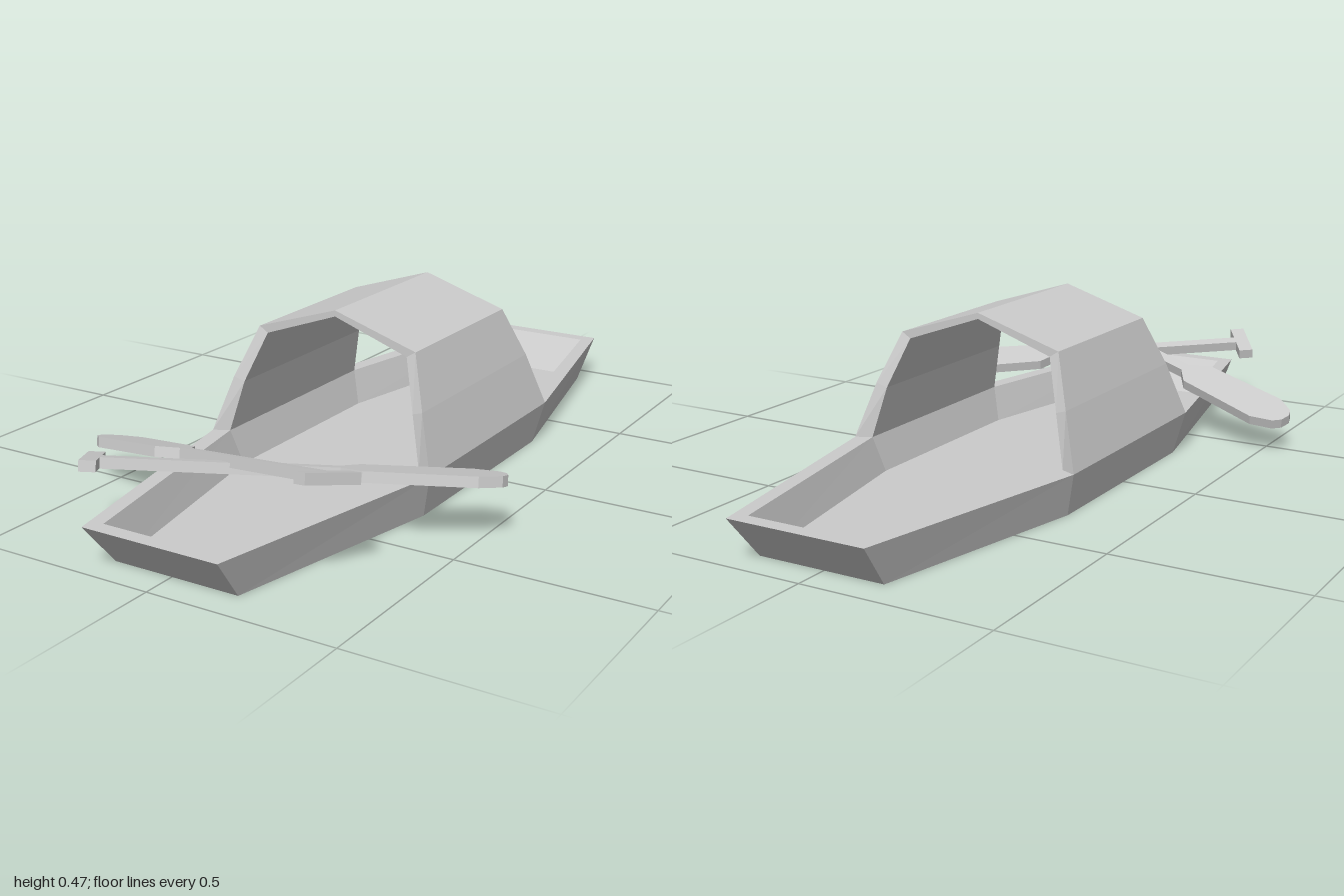
import * as THREE from 'three';

const CX = 0.01; // boat centre line

const material = () => new THREE.MeshStandardMaterial({ color: 0xcccccc, flatShading: true });

// Skin a list of rings (equal point counts) and cap both ends
function loft(rings) {
  const pos = [];
  const tri = (...pts) => pts.forEach((p) => pos.push(...p));
  const n = rings[0].length;
  for (let r = 0; r < rings.length - 1; r++) {
    const a = rings[r], b = rings[r + 1];
    for (let i = 0; i < n; i++) {
      const j = (i + 1) % n;
      tri(a[i], a[j], b[j]);
      tri(a[i], b[j], b[i]);
    }
  }
  const first = rings[0], last = rings[rings.length - 1];
  for (let i = 1; i < n - 1; i++) {
    tri(first[0], first[i + 1], first[i]);
    tri(last[0], last[i], last[i + 1]);
  }
  const geo = new THREE.BufferGeometry();
  geo.setAttribute('position', new THREE.Float32BufferAttribute(pos, 3));
  geo.computeVertexNormals();
  return geo;
}

// Eight-sided boat outline at height y
function outline(y, endX, endZ, midX, midZ) {
  const right = [[endX, endZ], [midX, midZ], [midX, -midZ], [endX, -endZ]];
  const left = right.map(([x, z]) => [-x, z]).reverse();
  return [...right, ...left].map(([x, z]) => [CX + x, y, z]);
}

function createHull() {
  const mesh = new THREE.Mesh(loft([
    outline(0, 0.175, 0.91, 0.303, 0.31),     // outer bottom
    outline(0.115, 0.19, 1, 0.33, 0.33),      // outer rim
    outline(0.115, 0.16, 0.96, 0.288, 0.31),  // inner rim
    outline(0.02, 0.147, 0.88, 0.262, 0.29),  // inside floor
  ]), material());
  mesh.name = 'hull';
  return mesh;
}

function createCanopy() {
  // half arch: [outer x, outer y, outer z, inner x, inner y, inner z]
  const half = [
    [0.33, 0.115, 0.33, 0.288, 0.115, 0.31],
    [0.285, 0.26, 0.29, 0.255, 0.25, 0.285],
    [0.235, 0.394, 0.238, 0.21, 0.378, 0.238],
  ];
  const mirrored = half.map(([x, y, z, ix, iy, iz]) => [-x, y, z, -ix, iy, iz]).reverse();
  const arch = [...half, [0, 0.468, 0.238, 0, 0.452, 0.238], ...mirrored];
  const rings = arch.map(([x, y, z, ix, iy, iz]) => [
    [CX + x, y, z], [CX + x, y, -z], [CX + ix, iy, -iz], [CX + ix, iy, iz],
  ]);
  const mesh = new THREE.Mesh(loft(rings), material());
  mesh.name = 'canopy';
  return mesh;
}

// Flat paddle: T-grip, straight shaft and clipped blade, running along +x
function paddleGeometry() {
  const t = 0.027;
  const side = [
    [-0.02, 0.076], [0.02, 0.076], [0.02, 0.017], [0.58, 0.017],
    [0.63, 0.058], [0.9, 0.065], [0.96, 0.038], [0.975, 0.016],
  ];
  const other = side.map(([x, y]) => [x, -y]).reverse();
  const shape = new THREE.Shape([...side, ...other].map(([x, y]) => new THREE.Vector2(x, y)));
  const geo = new THREE.ExtrudeGeometry(shape, { depth: t, bevelEnabled: false });
  geo.translate(0, 0, -t / 2);
  return geo;
}

function createPaddle(name, grip, tip, across) {
  const origin = new THREE.Vector3(...grip);
  const x = new THREE.Vector3(...tip).sub(origin).normalize();
  const y = new THREE.Vector3(...across);
  y.addScaledVector(x, -y.dot(x)).normalize();
  const z = new THREE.Vector3().crossVectors(x, y);
  const mesh = new THREE.Mesh(paddleGeometry(), material());
  mesh.quaternion.setFromRotationMatrix(new THREE.Matrix4().makeBasis(x, y, z));
  mesh.position.copy(origin);
  mesh.name = name;
  return mesh;
}

export function createModel() {
  const model = new THREE.Group();
  model.name = 'canopyBoat';
  model.add(
    createHull(),
    createCanopy(),
    createPaddle('rightPaddle', [0.345, 0.27, 0.79], [-0.547, 0.09, 0.483], [0.05, -0.035, -0.14]),
    createPaddle('leftPaddle', [-0.27, 0.207, 0.855], [0.537, 0.152, 0.337], [0.07, 0.03, 0.11]),
  );
  return model;
}
